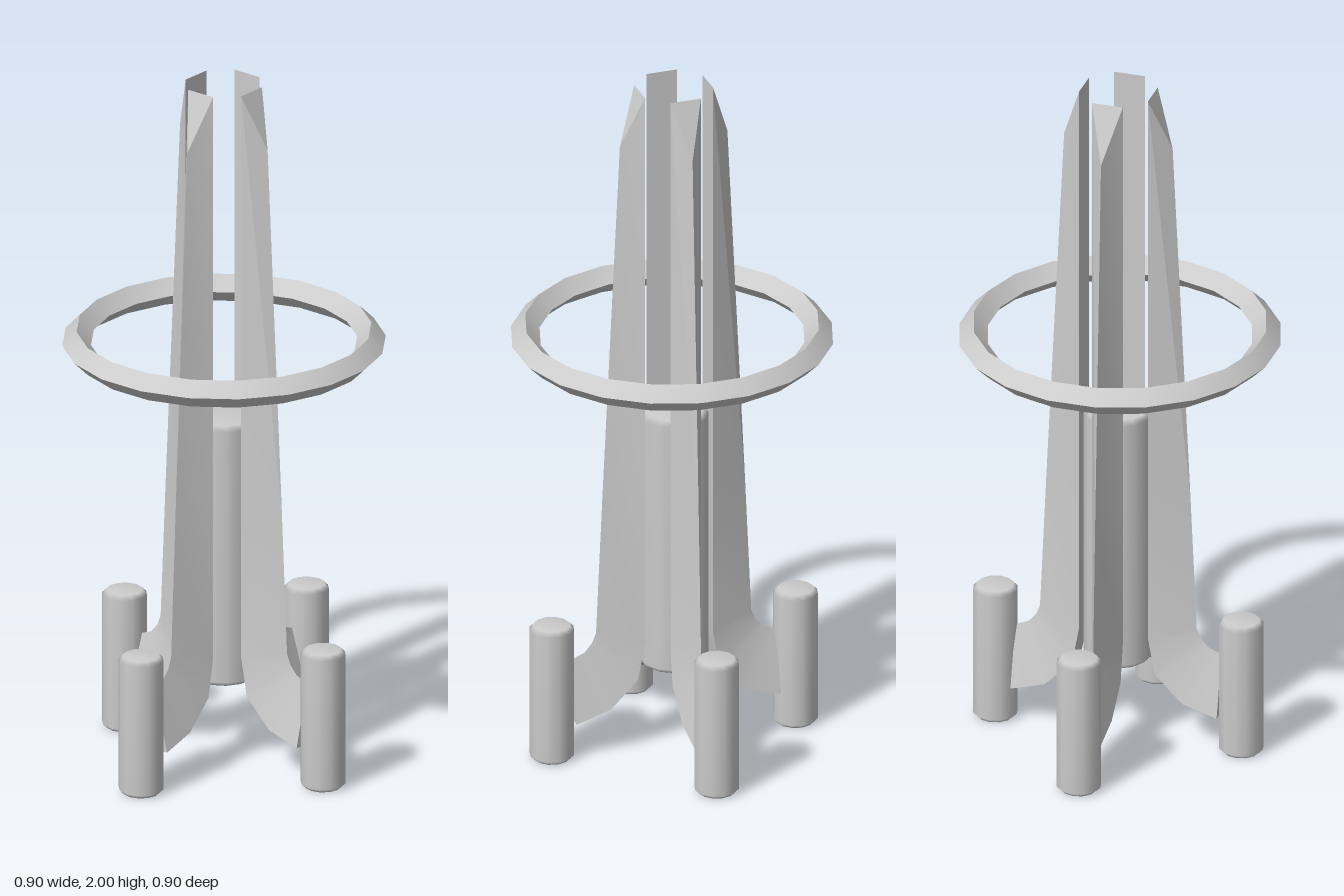
import * as THREE from 'three';
import { toCreasedNormals } from 'three/addons/utils/BufferGeometryUtils.js';

const material = new THREE.MeshStandardMaterial({ color: 0xcccccc });

function addMesh(parent, name, geometry) {
  const mesh = new THREE.Mesh(geometry, material);
  mesh.name = name;
  parent.add(mesh);
  return mesh;
}

// Upright cylinder with softly bevelled, smoothly shaded ends
function capsule(radius, bottom, top, bevel) {
  const profile = [
    [0, bottom], [radius - bevel, bottom], [radius, bottom + bevel],
    [radius, top - bevel], [radius - bevel, top], [0, top],
  ].map(([x, y]) => new THREE.Vector2(x, y));
  return new THREE.LatheGeometry(profile, 12);
}

// Triangular-section fin: a flat inner face and a sharp outer ridge,
// curving outward at the foot. Rows: inner radius, inner y, ridge radius, ridge y
function finGeometry() {
  const halfWidth = 0.045;
  const sections = [
    [0.10, 2.00, 0.158, 1.84],
    [0.10, 0.80, 0.21, 0.76],
    [0.10, 0.33, 0.228, 0.36],
    [0.12, 0.22, 0.24, 0.33],
    [0.20, 0.14, 0.262, 0.305],
    [0.30, 0.11, 0.30, 0.29],
  ].map(([ri, yi, ro, yo]) => [[ri, yi, -halfWidth], [ri, yi, halfWidth], [ro, yo, 0]]);

  const points = [];
  const face = (...corners) => corners.forEach((c) => points.push(...c));
  for (let k = 0; k < sections.length - 1; k++) {
    const upper = sections[k], lower = sections[k + 1];
    for (let i = 0; i < 3; i++) {
      const j = (i + 1) % 3;
      face(upper[i], lower[i], lower[j]);
      face(upper[i], lower[j], upper[j]);
    }
  }
  const foot = sections[sections.length - 1];
  face(...sections[0]);
  face(foot[0], foot[2], foot[1]);

  const geometry = new THREE.BufferGeometry();
  geometry.setAttribute('position', new THREE.Float32BufferAttribute(points, 3));
  return toCreasedNormals(geometry, 0.3);
}

export function createModel() {
  const model = new THREE.Group();
  model.name = 'finnedTower';

  const body = new THREE.Group();
  body.name = 'body';
  body.position.z = -0.005;
  model.add(body);

  addMesh(body, 'centralTube', capsule(0.097, 0.24, 1.012, 0.014));

  // Four fins on the diagonals, each ending in a foot pod
  const fin = finGeometry();
  const pod = capsule(0.063, 0, 0.406, 0.012);
  for (let k = 0; k < 4; k++) {
    const arm = new THREE.Group();
    arm.name = 'arm' + (k + 1);
    arm.rotation.y = Math.PI / 4 + k * Math.PI / 2;
    addMesh(arm, 'fin', fin);
    const footPod = addMesh(arm, 'footPod', pod);
    footPod.position.x = 0.358;
    body.add(arm);
  }

  // Floating ring with a diamond section
  const ring = new THREE.TorusGeometry(0.41, 0.04, 4, 20);
  ring.rotateX(Math.PI / 2);
  addMesh(model, 'ring', toCreasedNormals(ring, 0.5)).position.y = 1.237;

  return model;
}
